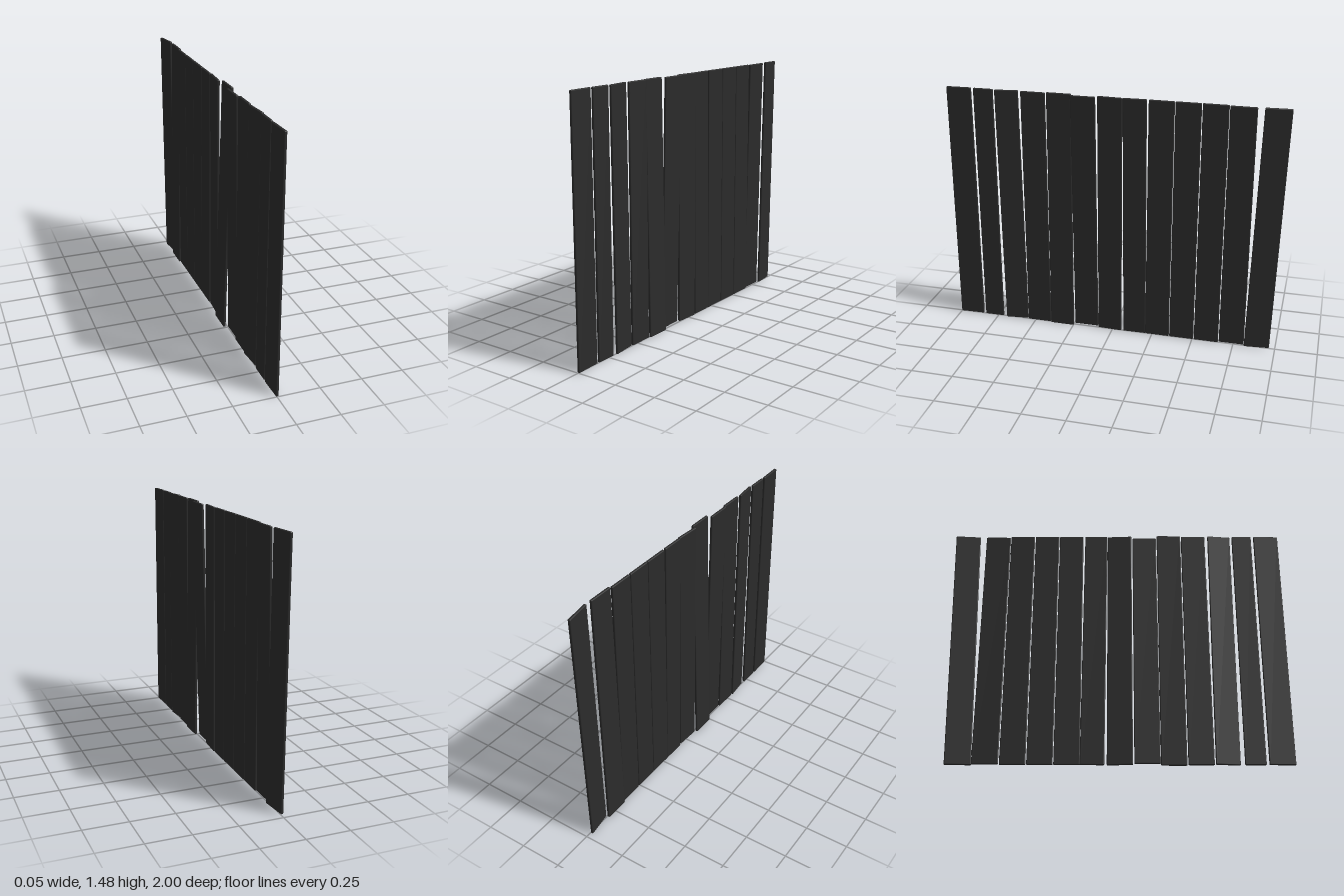
import * as THREE from 'three';
import { RoundedBoxGeometry } from 'three/addons/geometries/RoundedBoxGeometry.js';

const HEIGHT = 1.48;
const THICKNESS = 0.016;

// Each plank: centre z, width, and small turns (lean sideways, yaw, tilt along the row)
const PLANKS = [
  { z: 0.925, w: 0.15, yaw: 0.03 },
  { z: 0.775, w: 0.12 },
  { z: 0.627, w: 0.14, yaw: 0.1, tilt: 0.008 },
  { z: 0.472, w: 0.147 },
  { z: 0.32, w: 0.147, lean: 0.013 },
  { z: 0.17, w: 0.147, lean: -0.025 },
  { z: 0.016, w: 0.147, yaw: -0.06 },
  { z: -0.134, w: 0.138, tilt: 0.008 },
  { z: -0.282, w: 0.147 },
  { z: -0.433, w: 0.147 },
  { z: -0.585, w: 0.147 },
  { z: -0.738, w: 0.15, lean: -0.013 },
  { z: -0.908, w: 0.15, yaw: 0.13, tilt: -0.024 },
];

export function createModel() {
  const fence = new THREE.Group();
  fence.name = 'plankFence';
  const material = new THREE.MeshStandardMaterial({ color: 0x2b2b2b });

  // Row of upright boards with softened edges
  PLANKS.forEach(({ z, w, lean = 0, yaw = 0, tilt = 0 }, i) => {
    const plank = new THREE.Mesh(new RoundedBoxGeometry(THICKNESS, HEIGHT, w, 2, 0.005), material);
    plank.name = `plank${i + 1}`;
    plank.position.set(0, HEIGHT / 2 + 0.003, z);
    plank.rotation.set(tilt, yaw, lean);
    fence.add(plank);
  });

  return fence;
}
